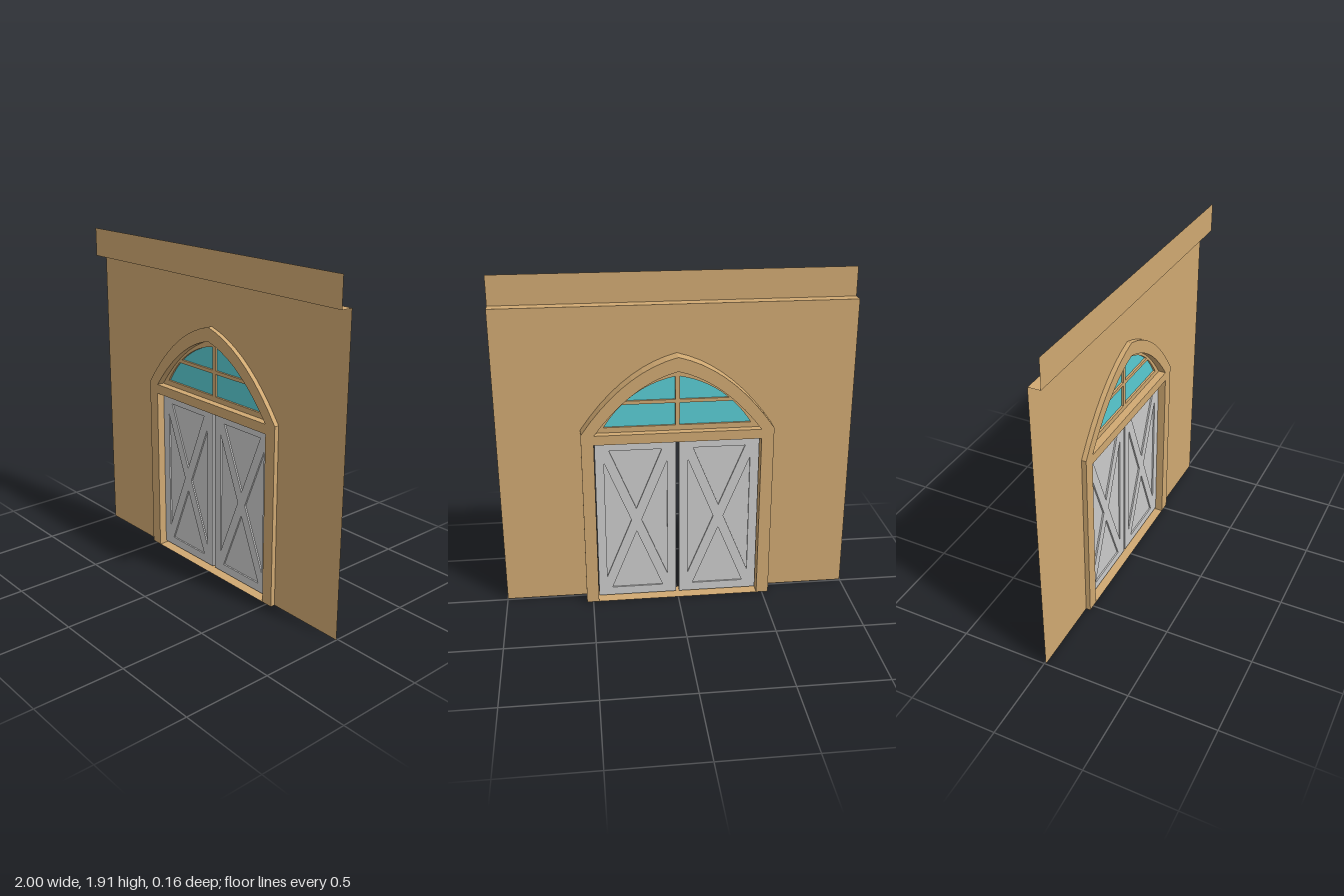
import * as THREE from 'three';

const V = (x, y) => new THREE.Vector2(x, y);
const mat = (color) => new THREE.MeshStandardMaterial({ color, side: THREE.DoubleSide });

// Right half of a slightly pointed arch, from springing (w, y0) up to the apex (0, y1)
const halfArch = (w, y0, cx, cy, y1, n = 9) =>
  new THREE.QuadraticBezierCurve(V(w, y0), V(cx, cy), V(0, y1)).getPoints(n);
const flip = (pts) => pts.map((p) => V(-p.x, p.y)).reverse();
const fullArch = (half) => [...half, ...flip(half).slice(1)];

const OUTER = fullArch(halfArch(0.537, 1.05, 0.296, 1.404, 1.477));
const INNER = fullArch(halfArch(0.465, 1.045, 0.25, 1.337, 1.397));
const GLASS_HALF = halfArch(0.41, 1.075, 0.26, 1.315, 1.36, 24);

const WALL_Z = 0.01, LEDGE_Z = 0.078;
const FRAME_BACK = -0.08, FRAME_FRONT = 0.037;
const MID_Z = (FRAME_BACK + FRAME_FRONT) / 2;
const W = 0.467, DOOR_TOP = 0.99;

function mesh(name, geometry, material) {
  const m = new THREE.Mesh(geometry, material);
  m.name = name;
  return m;
}

function extrude(outline, holes, z0, z1) {
  const shape = new THREE.Shape(outline);
  shape.holes = holes.map((h) => new THREE.Path(h));
  const g = new THREE.ExtrudeGeometry(shape, { depth: z1 - z0, bevelEnabled: false });
  return g.translate(0, 0, z0);
}

// Part of the glazed arch between two heights, right of the mullion
function pane(yMin, yMax) {
  const curve = GLASS_HALF;
  const xAt = (y) => {
    const i = curve.findIndex((p) => p.y >= y);
    if (i <= 0) return curve[0].x;
    const a = curve[i - 1], b = curve[i];
    return a.x + ((b.x - a.x) * (y - a.y)) / (b.y - a.y);
  };
  const pts = [V(0.012, yMin), V(xAt(yMin), yMin)];
  pts.push(...curve.filter((p) => p.y > yMin + 1e-4 && p.y < yMax - 1e-4 && p.x > 0.012));
  if (yMax < 1.3) pts.push(V(xAt(yMax), yMax), V(0.012, yMax));
  else pts.push(V(0.012, 1.358));
  return pts;
}

// Door leaf with a cross brace in front of a thin recessed panel
function createDoor(material) {
  const door = new THREE.Group();
  const w = 0.454, h = 0.97, hw = w / 2, hh = h / 2;
  const ix = hw - 0.05, iy = hh - 0.05;
  const bx = 0.029, by = (bx * iy) / ix;
  const outline = [V(-hw, -hh), V(hw, -hh), V(hw, hh), V(-hw, hh)];
  const holes = [];
  for (const s of [-1, 1]) {
    holes.push([V(s * ix, iy - by), V(s * ix, by - iy), V(s * bx, 0)]);
    holes.push([V(ix - bx, s * iy), V(bx - ix, s * iy), V(0, s * by)]);
  }
  door.add(mesh('doorBracing', extrude(outline, holes, -0.015, 0.015), material));
  door.add(mesh('doorPanel', new THREE.BoxGeometry(w - 0.04, h - 0.04, 0.012), material));
  return door;
}

export function createModel() {
  const model = new THREE.Group();
  model.name = 'archedDoorway';
  const plaster = mat(0xd0a972), glass = mat(0x59ccd3), grey = mat(0xcccccc);

  // Thin wall sheet, notched around the arched frame
  const wallShape = new THREE.Shape([
    V(0.537, 0), V(1, 0), V(1, 1.745), V(-1, 1.745), V(-1, 0), V(-0.537, 0),
    ...OUTER.slice().reverse(),
  ]);
  const wall = mesh('wall', new THREE.ShapeGeometry(wallShape), plaster);
  wall.position.z = WALL_Z;
  model.add(wall);

  // Overhanging band along the top of the wall: soffit and upright face
  const soffit = mesh('ledgeSoffit', new THREE.PlaneGeometry(2, LEDGE_Z - WALL_Z), plaster);
  soffit.rotation.x = Math.PI / 2;
  soffit.position.set(0, 1.745, (WALL_Z + LEDGE_Z) / 2);
  const band = mesh('ledgeFace', new THREE.PlaneGeometry(2, 0.165), plaster);
  band.position.set(0, 1.8275, LEDGE_Z);
  model.add(soffit, band);

  // Jambs, transom and arch in one frame
  const frameOutline = [
    V(W, 0), V(0.537, 0), ...OUTER, V(-0.537, 0), V(-W, 0), V(-W, DOOR_TOP), V(W, DOOR_TOP),
  ];
  model.add(mesh('doorFrame', extrude(frameOutline, [INNER], FRAME_BACK, FRAME_FRONT), plaster));

  // Flat threshold between the jambs
  const sill = mesh('threshold', new THREE.PlaneGeometry(2 * W, FRAME_FRONT - FRAME_BACK), plaster);
  sill.rotation.x = -Math.PI / 2;
  sill.position.z = MID_Z;
  model.add(sill);

  // Fanlight: sash with four openings over one sheet of glass
  const right = [pane(1.075, 1.205), pane(1.225, 1.36)];
  const panes = [...right, ...right.map(flip)];
  model.add(mesh('fanlightSash', extrude(INNER, panes, MID_Z - 0.015, MID_Z + 0.015), plaster));
  const sheet = mesh('fanlightGlass', extrude(fullArch(GLASS_HALF), [], -0.003, 0.003), glass);
  sheet.position.z = MID_Z;
  model.add(sheet);

  // Pair of doors
  for (const s of [-1, 1]) {
    const door = createDoor(grey);
    door.name = s > 0 ? 'leftDoor' : 'rightDoor';
    door.position.set(s * 0.236, 0.5, MID_Z);
    model.add(door);
  }
  return model;
}
